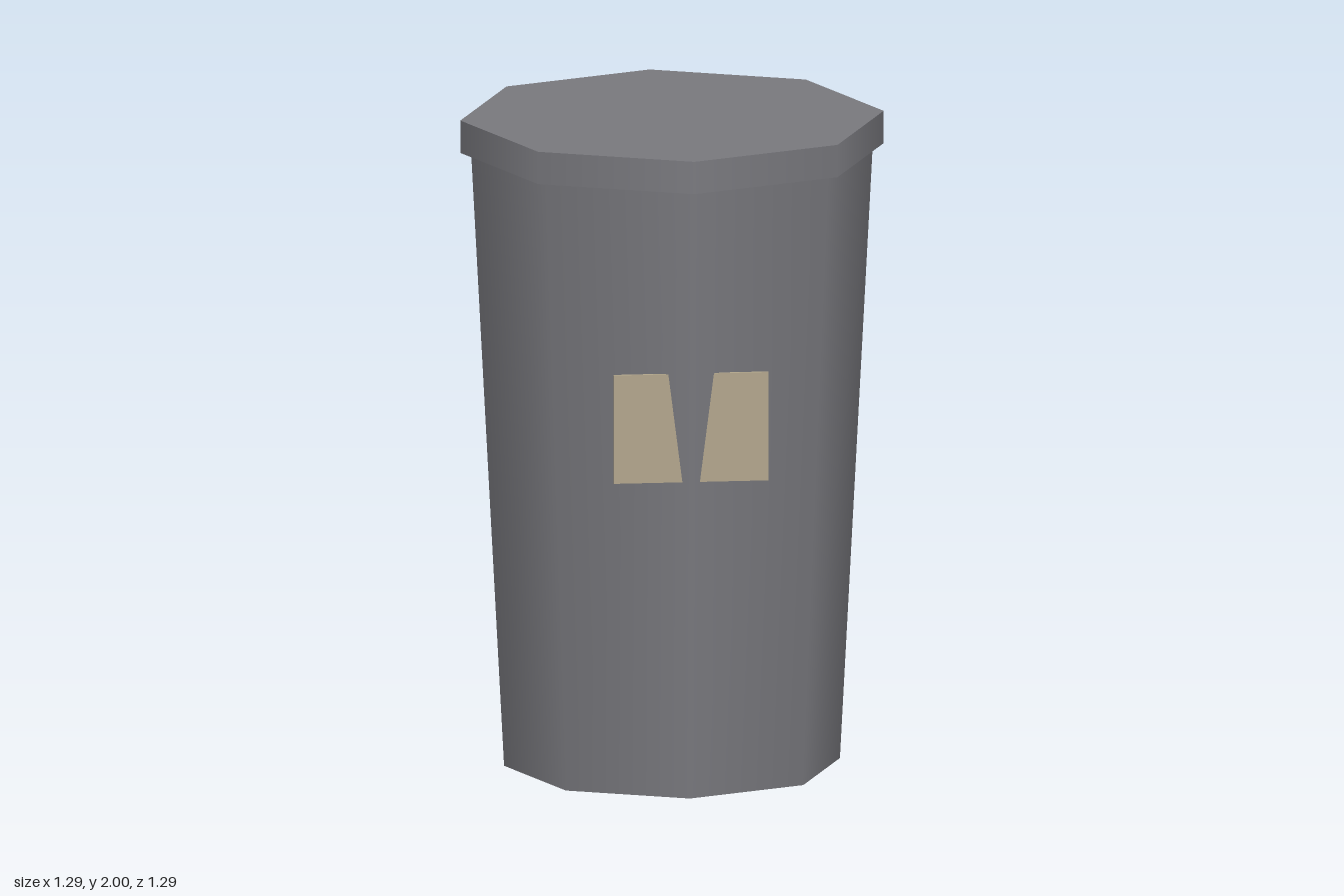
import * as THREE from 'three';

export function createModel() {
  const group = new THREE.Group();
  const grey = new THREE.MeshStandardMaterial({ color: 0x77777c });
  const tan = new THREE.MeshStandardMaterial({ color: 0xb0a48a });

  const add = (name, geometry, material, y, z = 0) => {
    const mesh = new THREE.Mesh(geometry, material);
    mesh.name = name;
    mesh.position.set(0, y, z);
    group.add(mesh);
  };

  // Tapered eight-sided body with smooth side normals, corners on the axes
  add('body', new THREE.CylinderGeometry(0.61, 0.51, 1.9, 8), grey, 0.95);

  // Overhanging flat lid
  add('lid', new THREE.CylinderGeometry(0.643, 0.643, 0.1, 8), grey, 1.95);

  // Thin label plate, split in two by the front corner of the body
  add('labelPlate', new THREE.BoxGeometry(0.47, 0.335, 0.01), tan, 1.156, 0.546);

  return group;
}
